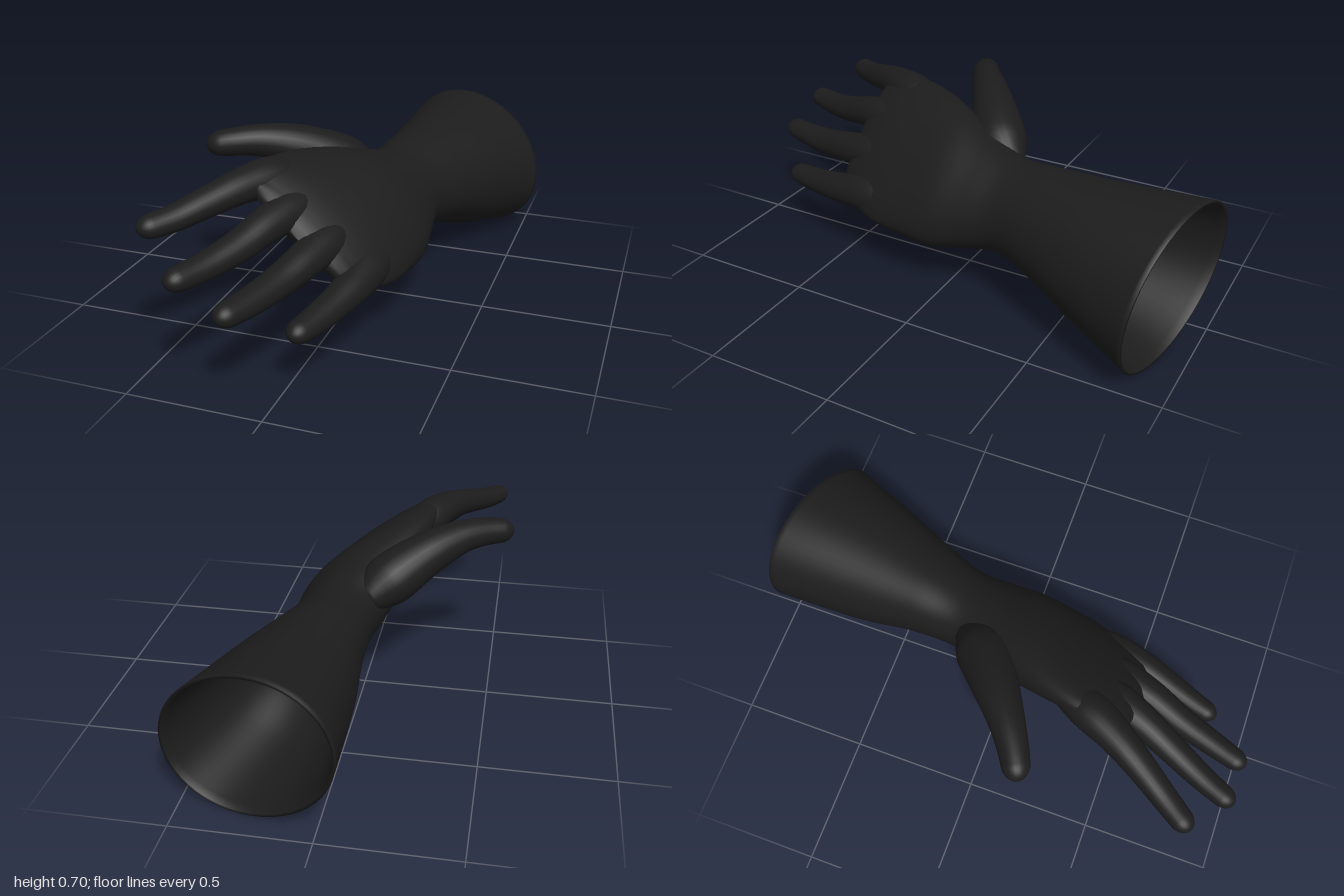
import * as THREE from 'three';

// Skin a list of equal rings (counter-clockwise about the direction of travel)
function skin(rings) {
  const n = rings[0].length, pos = [], idx = [];
  rings.forEach(r => r.forEach(p => pos.push(p.x, p.y, p.z)));
  for (let i = 0; i < rings.length - 1; i++) {
    for (let j = 0; j < n; j++) {
      const a = i * n + j, b = i * n + (j + 1) % n;
      idx.push(a, b, a + n, b, b + n, a + n);
    }
  }
  const g = new THREE.BufferGeometry();
  g.setAttribute('position', new THREE.Float32BufferAttribute(pos, 3));
  g.setIndex(idx);
  g.computeVertexNormals();
  return g;
}

// Smooth interpolation through rows of numbers
function smoothRows(keys, rows) {
  const interp = new THREE.CubicInterpolant(keys, rows.flat(), rows[0].length);
  return t => Array.from(interp.evaluate(t));
}

// Cuff, wrist and palm sections: z, centre x, centre y, half width, half thickness, roll, slant in x, slant in y
const sections = [
  [-0.93, 0.237, 0.301, 0.335, 0.281, -0.60, 0.22, -0.083],
  [-0.60, 0.170, 0.328, 0.260, 0.230, -0.68, 0.12, -0.05],
  [-0.40, 0.132, 0.358, 0.214, 0.180, -0.74, 0.05, -0.02],
  [-0.22, 0.093, 0.373, 0.190, 0.150, -0.78, 0, 0],
  [-0.10, 0.076, 0.380, 0.226, 0.150, -0.77, 0, 0],
  [0.05, 0.056, 0.397, 0.282, 0.148, -0.77, 0, 0],
  [0.20, 0.025, 0.425, 0.312, 0.118, -0.74, 0, 0],
  [0.35, -0.008, 0.440, 0.318, 0.090, -0.74, 0, 0],
  [0.43, -0.028, 0.445, 0.295, 0.072, -0.74, 0, 0],
  [0.49, -0.038, 0.443, 0.255, 0.052, -0.74, 0, 0],
  [0.53, -0.045, 0.440, 0.210, 0.032, -0.74, 0, 0],
  [0.55, -0.045, 0.440, 0.020, 0.002, -0.74, 0, 0],
];
const sectionAt = smoothRows(sections.map(s => s[0]), sections.map(s => s.slice(1)));

function handRing(z, inset = 0, scale = 1, n = 56) {
  const [cx, cy, a, b, roll, sx, sy] = sectionAt(z);
  return Array.from({ length: n }, (_, j) => {
    const t = j / n * Math.PI * 2;
    const u = (a - inset) * scale * Math.cos(t), v = (b - inset) * scale * Math.sin(t);
    const dx = u * Math.cos(roll) - v * Math.sin(roll);
    const dy = u * Math.sin(roll) + v * Math.cos(roll);
    return new THREE.Vector3(cx + dx, cy + dy, z + sx * dx + sy * dy);
  });
}

// Inner lining runs from the knuckles back to the rim, then the outside runs forward again
function handGeometry() {
  const rings = [handRing(0.42, 0.012, 0.001), handRing(0.41, 0.012, 0.6)];
  for (let i = 0; i <= 44; i++) rings.push(handRing(0.39 - 1.32 * i / 44, 0.012));
  for (let i = 0; i <= 74; i++) rings.push(handRing(-0.93 + 1.48 * i / 74));
  return skin(rings);
}

// Finger: points are x, y, z, radius; both ends are rounded
const backOfFinger = new THREE.Vector3(0.42, 0.91, 0);
function fingerGeometry(points, flat, n = 24) {
  const curve = new THREE.CatmullRomCurve3(points.map(p => new THREE.Vector3(p[0], p[1], p[2])));
  const radiusAt = smoothRows(points.map((_, i) => i / (points.length - 1)), points.map(p => [p[3]]));
  const len = curve.getLength();
  const endA = 0.5 * points[0][3] / len, endB = points[points.length - 1][3] * 1.2 / len;
  const stops = [];
  for (let i = 0; i < 5; i++) {
    const f = i / 5 * Math.PI / 2;
    stops.push([endA * (1 - Math.cos(f)), Math.max(Math.sin(f), 0.01)]);
  }
  for (let i = 0; i <= 24; i++) stops.push([endA + (1 - endA - endB) * i / 24, 1]);
  for (let i = 1; i <= 8; i++) {
    const f = i / 8 * Math.PI / 2;
    stops.push([1 - endB + endB * Math.sin(f), Math.max(Math.cos(f), 0.01)]);
  }
  return skin(stops.map(([u, k]) => {
    const t = curve.getUtoTmapping(u), c = curve.getPoint(t), dir = curve.getTangent(t);
    const side = backOfFinger.clone().cross(dir).normalize();
    const up = dir.clone().cross(side);
    const r = radiusAt(t)[0] * k;
    return Array.from({ length: n }, (_, j) => {
      const a = j / n * Math.PI * 2;
      return c.clone().addScaledVector(side, r * Math.cos(a)).addScaledVector(up, r * flat * Math.sin(a));
    });
  }));
}

const fingers = {
  thumb: [[-0.02, 0.468, -0.18, 0.05], [-0.1, 0.515, -0.085, 0.105], [-0.245, 0.597, 0.025, 0.088],
    [-0.37, 0.636, 0.115, 0.067], [-0.47, 0.638, 0.178, 0.056], [-0.556, 0.628, 0.22, 0.049]],
  indexFinger: [[-0.15, 0.56, 0.25, 0.06], [-0.207, 0.597, 0.37, 0.08], [-0.275, 0.6, 0.5, 0.068],
    [-0.352, 0.575, 0.63, 0.057], [-0.422, 0.55, 0.74, 0.05], [-0.495, 0.541, 0.85, 0.043]],
  middleFinger: [[-0.07, 0.49, 0.28, 0.06], [-0.108, 0.511, 0.42, 0.08], [-0.148, 0.5, 0.56, 0.068],
    [-0.203, 0.462, 0.7, 0.059], [-0.265, 0.438, 0.84, 0.051], [-0.325, 0.434, 0.985, 0.042]],
  ringFinger: [[0.03, 0.405, 0.28, 0.06], [0.018, 0.405, 0.42, 0.08], [-0.01, 0.386, 0.57, 0.068],
    [-0.055, 0.358, 0.71, 0.059], [-0.1, 0.345, 0.86, 0.051], [-0.145, 0.345, 1.0, 0.042]],
  littleFinger: [[0.15, 0.315, 0.25, 0.06], [0.148, 0.295, 0.37, 0.08], [0.137, 0.275, 0.5, 0.068],
    [0.105, 0.253, 0.63, 0.057], [0.073, 0.24, 0.74, 0.05], [0.042, 0.236, 0.85, 0.04]],
};

export function createModel() {
  const glove = new THREE.Group();
  glove.name = 'glove';
  const rubber = new THREE.MeshStandardMaterial({ color: 0x1c1c1c });
  rubber.name = 'black rubber';
  const add = (name, geometry) => {
    const mesh = new THREE.Mesh(geometry, rubber);
    mesh.name = name;
    glove.add(mesh);
  };
  add('cuffAndPalm', handGeometry());
  for (const [name, points] of Object.entries(fingers)) {
    add(name, fingerGeometry(points, name === 'thumb' ? 0.95 : 0.9));
  }
  return glove;
}
